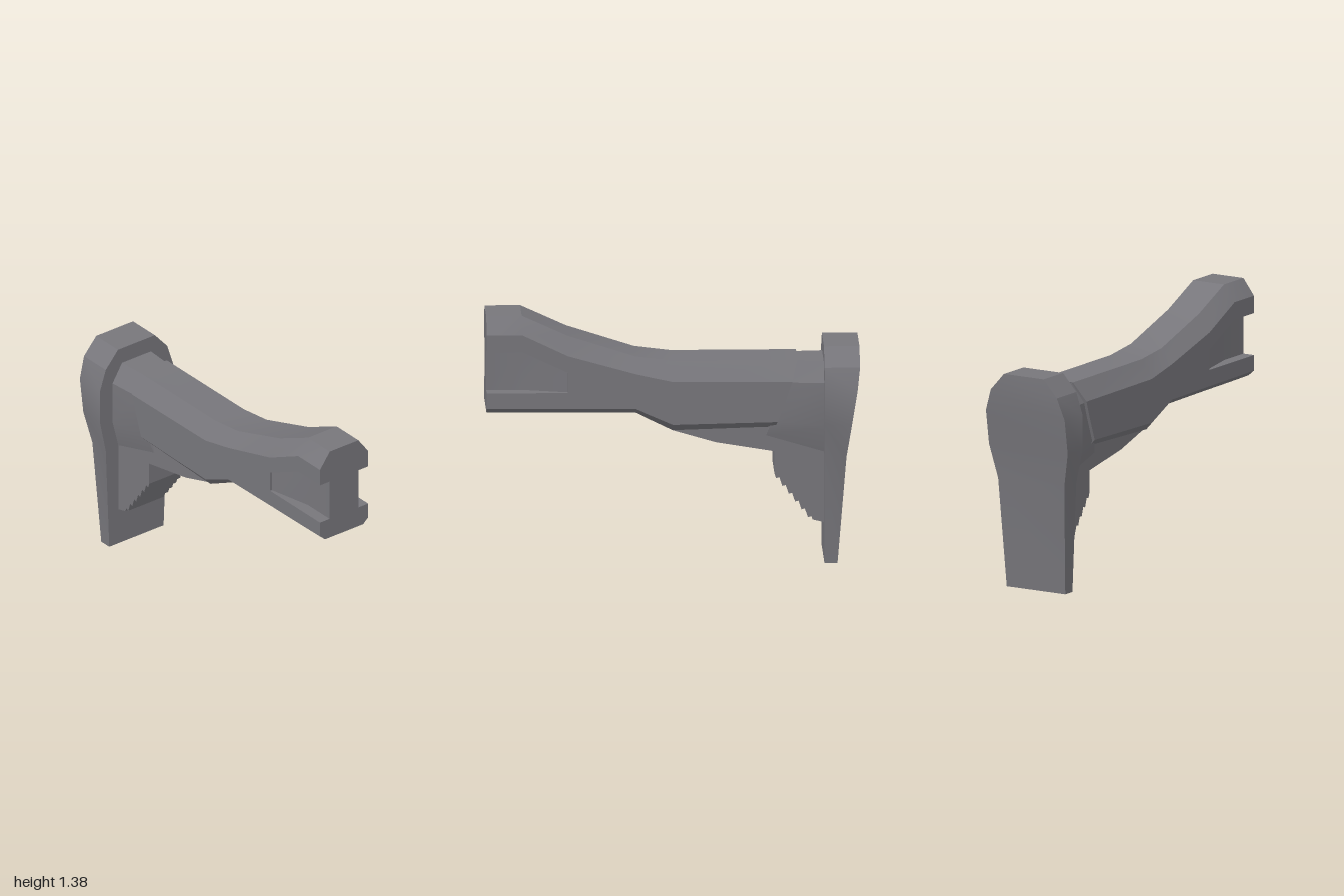
import * as THREE from 'three';
import { toCreasedNormals } from 'three/addons/utils/BufferGeometryUtils.js';

// the body drifts slightly sideways along its length
const centreZ = x => 0.012 + 0.011 * x;

// Joins mirrored cross-sections; each section is a half profile of [x, y, halfWidth]
function loft(sections) {
  const pos = [];
  const tri = (a, b, c) => {
    const n = b.clone().sub(a).cross(c.clone().sub(a));
    if (n.length() > 1e-7) pos.push(...a.toArray(), ...b.toArray(), ...c.toArray());
  };
  const quad = (a, b, c, d) => { tri(a, b, c); tri(a, c, d); };
  const rings = sections.map(half => {
    const side = s => half.map(([x, y, w]) => new THREE.Vector3(x, y, centreZ(x) + s * w));
    return [...side(1), ...side(-1).reverse()];
  });
  const n = rings[0].length;
  for (let s = 0; s < rings.length - 1; s++) {
    for (let i = 0; i < n; i++) {
      const j = (i + 1) % n;
      quad(rings[s][i], rings[s + 1][i], rings[s + 1][j], rings[s][j]);
    }
  }
  // end caps, built as strips between mirrored points
  const first = rings[0], last = rings[rings.length - 1];
  for (let i = 0; i < n / 2 - 1; i++) {
    quad(first[i], first[i + 1], first[n - 2 - i], first[n - 1 - i]);
    quad(last[n - 1 - i], last[n - 2 - i], last[i + 1], last[i]);
  }
  const g = new THREE.BufferGeometry();
  g.setAttribute('position', new THREE.Float32BufferAttribute(pos, 3));
  return toCreasedNormals(g, 0.4);
}

export function createModel() {
  const group = new THREE.Group();
  const grey = new THREE.MeshStandardMaterial({ color: 0x77767b });
  grey.name = 'grey';
  const add = (name, geometry) => {
    const mesh = new THREE.Mesh(geometry, grey);
    mesh.name = name;
    group.add(mesh);
  };

  // Main body: chamfered bar with a side pocket that deepens toward the open end
  const W = 0.165;
  const bodySection = (x, bottom, low, up, top, r0 = 0.92, r1 = 0.98, depth = 0) => {
    const xs = Array.isArray(x) ? x : [x, x, x, x, x];
    return [
      [xs[0], bottom, 0.13], [xs[1], low, W],
      [xs[2], r0, W], [xs[2], r0, W - depth], [xs[2], r1, W - depth], [xs[2], r1, W],
      [xs[3], up, W], [xs[4], top, 0.098],
    ];
  };
  add('mainBody', loft([
    bodySection([-0.55, -0.56, -0.61, -0.64, -0.67], 0.75, 0.785, 1.01, 1.113, 0.92, 0.92),
    bodySection(0, 0.735, 0.775, 1.015, 1.115),
    bodySection(0.2, 0.835, 0.865, 1.06, 1.14),
    bodySection(0.565, 0.84, 0.87, 1.165, 1.26, 0.96, 1.072),
    bodySection(0.565, 0.84, 0.87, 1.165, 1.26, 0.96, 1.072, 0.012),
    bodySection(0.81, 0.842, 0.872, 1.285, 1.375, 0.96, 1.19, 0.066),
    bodySection(1, 0.845, 0.875, 1.285, 1.375, 0.96, 1.19, 0.066),
  ]));

  // Neck between the end plate and the body
  add('neck', loft([
    [[-0.83, 0.6, 0.125], [-0.83, 0.76, 0.165], [-0.83, 1.0, 0.165], [-0.83, 1.105, 0.1]],
    [[-0.5, 0.7, 0.125], [-0.53, 0.785, 0.145], [-0.6, 1.0, 0.145], [-0.63, 1.105, 0.088]],
  ]));

  // End plate: rows of [y, back x, half width] from the toe upward
  add('endPlate', loft([
    [0, -0.88, 0.186], [0.6, -0.927, 0.21], [0.79, -0.955, 0.25],
    [0.98, -0.985, 0.25], [1.1, -1, 0.21], [1.195, -1, 0.126],
  ].map(([y, back, w]) => [[-0.81, y, w], [back, y, w]])));

  // Lower web with a toothed edge
  const outline = [[-0.83, 0.21], [-0.81, 0.21], [-0.75, 0.225]];
  const teeth = 6;
  for (let i = 0; i < teeth; i++) {
    const t = (i + 0.35) / teeth;
    const x = -0.75 + 0.205 * t, y = 0.225 + 0.265 * t;
    outline.push([x - 0.004, y + 0.003], [x + 0.014, y - 0.002]);
  }
  outline.push([-0.545, 0.485], [-0.545, 0.61], [-0.23, 0.665], [0, 0.735], [0, 0.77], [-0.83, 0.79]);
  const web = new THREE.ExtrudeGeometry(
    new THREE.Shape(outline.map(p => new THREE.Vector2(...p))),
    { depth: 0.246, bevelEnabled: false });
  web.translate(0, 0, centreZ(-0.7) - 0.123);
  add('toothedWeb', web);

  return group;
}
